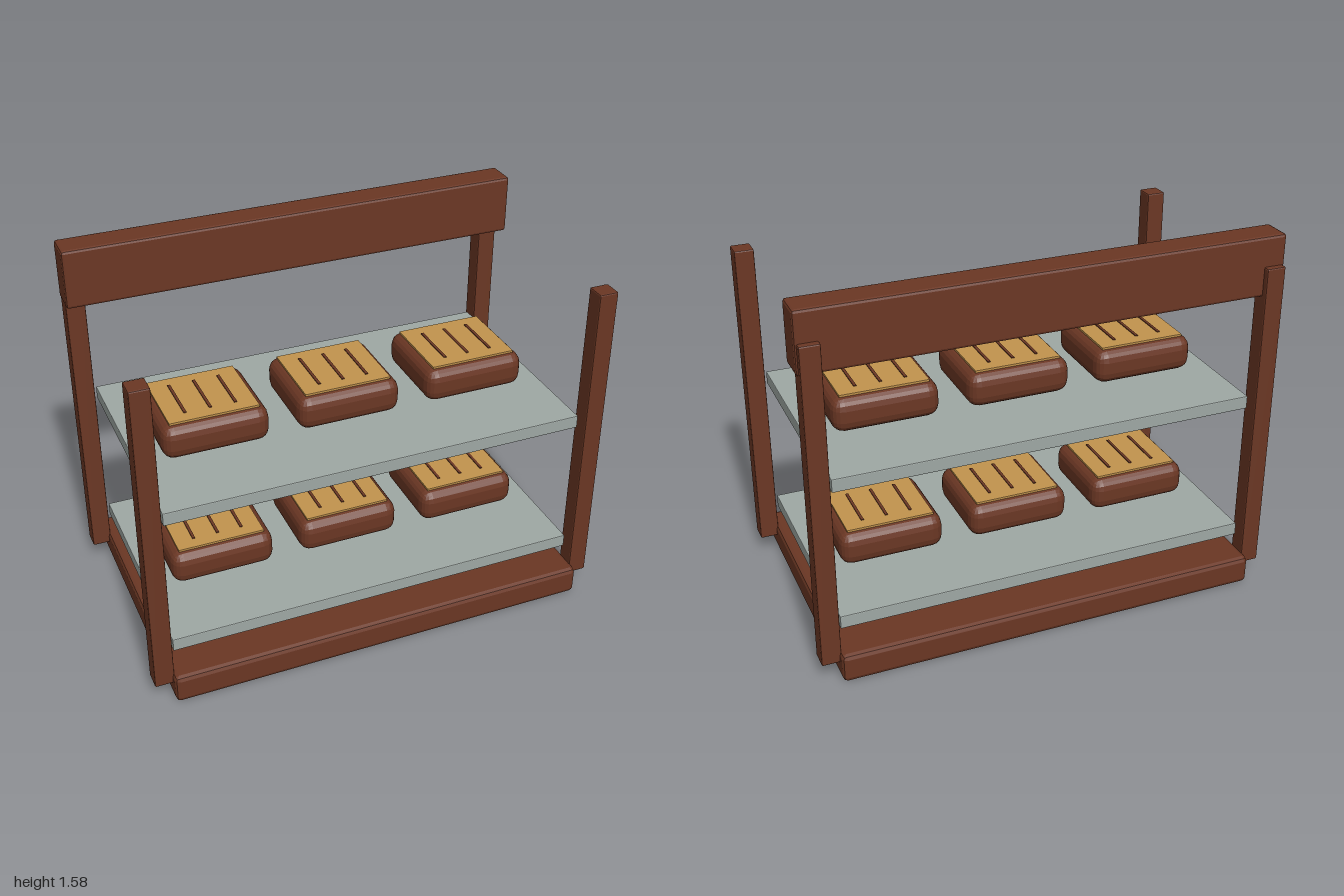
import * as THREE from 'three';
import { RoundedBoxGeometry } from 'three/addons/geometries/RoundedBoxGeometry.js';

function material(name, color) {
  const m = new THREE.MeshStandardMaterial({ color });
  m.name = name;
  return m;
}

export function createModel() {
  const model = new THREE.Group();
  model.name = 'breadRack';
  const wood = material('brown wood and crust', 0x6b3724);
  const shelfGrey = material('grey shelf', 0x9fa8a4);
  const golden = material('golden bread top', 0xc2944e);

  // Box with faceted bevels, given by its limits on each axis
  function block(parent, name, mat, [x0, x1], [y0, y1], [z0, z1], bevel = 0, segments = 1) {
    const size = [x1 - x0, y1 - y0, z1 - z0];
    const geo = bevel
      ? new RoundedBoxGeometry(...size, segments, bevel)
      : new THREE.BoxGeometry(...size);
    if (bevel) geo.computeVertexNormals(); // unshared corners give flat facets
    const mesh = new THREE.Mesh(geo, mat);
    mesh.name = name;
    mesh.position.set((x0 + x1) / 2, (y0 + y1) / 2, (z0 + z1) / 2);
    parent.add(mesh);
    return mesh;
  }

  // Frame: base, four posts and the sign board at the back
  block(model, 'base', wood, [-0.917, 0.917], [0, 0.125], [-0.585, 0.585], 0.02);
  for (const x of [-0.95, 0.95]) {
    for (const z of [-0.5, 0.5]) {
      block(model, 'post', wood, [x - 0.041, x + 0.041], [0.073, 1.452], [z - 0.041, z + 0.041], 0.006);
    }
  }
  block(model, 'topBoard', wood, [-1, 1], [1.325, 1.58], [-0.515, -0.381], 0.012);

  // Loaf with a golden top and three slashes, standing on y = 0
  function addLoaf(x, y) {
    const loaf = new THREE.Group();
    loaf.name = 'loaf';
    block(loaf, 'crust', wood, [-0.223, 0.223], [0, 0.15], [-0.205, 0.205], 0.05, 2);
    block(loaf, 'goldenTop', golden, [-0.187, 0.187], [0.149, 0.158], [-0.167, 0.167]);
    for (const sx of [-0.105, 0, 0.105]) {
      block(loaf, 'slash', wood, [sx - 0.006, sx + 0.006], [0.157, 0.162], [-0.112, 0.112]);
    }
    loaf.position.set(x, y, 0);
    model.add(loaf);
  }

  // Two shelves of three loaves
  for (const y of [0.2, 0.82]) {
    block(model, 'shelf', shelfGrey, [-0.895, 0.895], [y, y + 0.057], [-0.5, 0.5], 0.004);
    for (const x of [-0.57, 0, 0.57]) addLoaf(x, y + 0.067);
  }

  return model;
}
